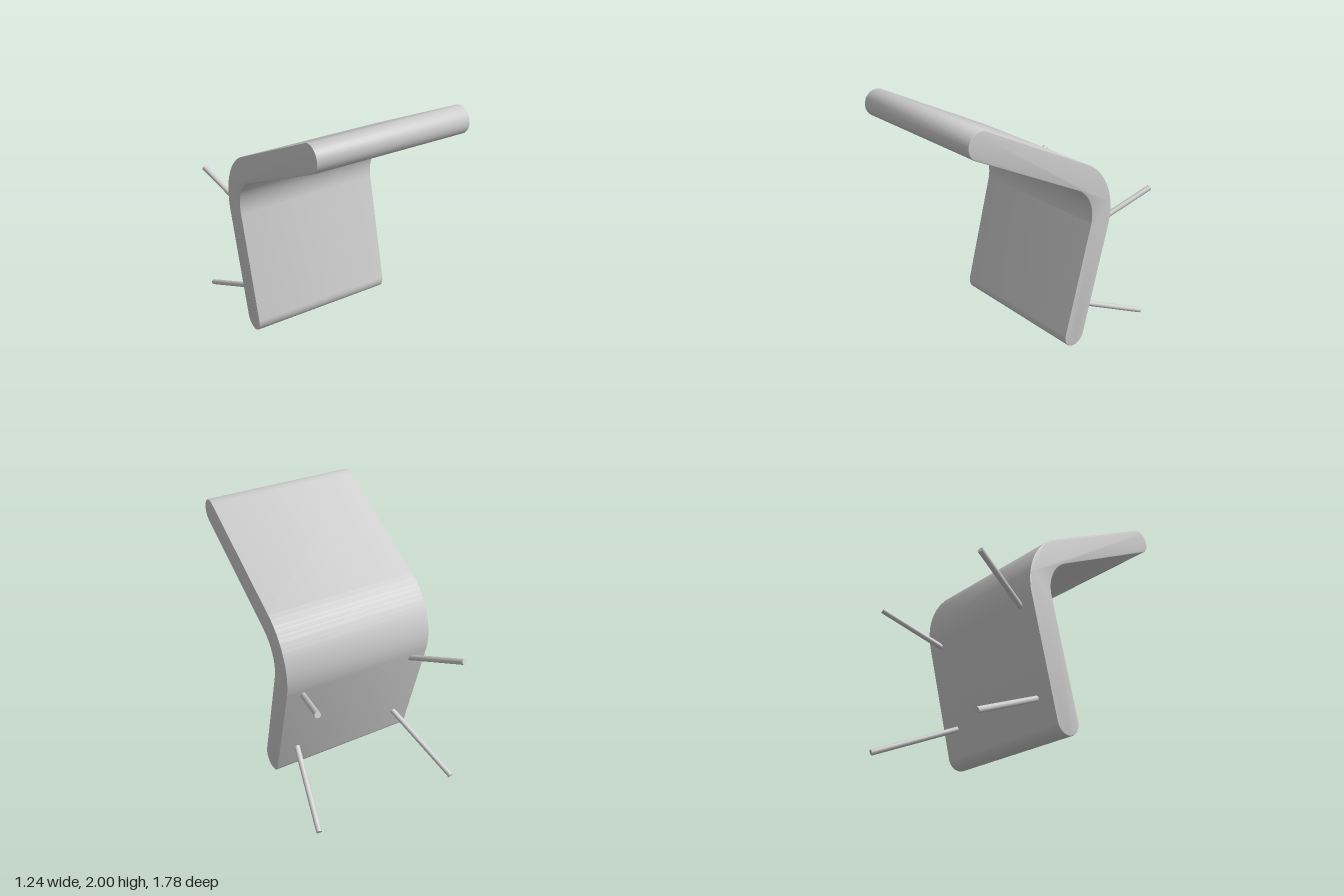
import * as THREE from 'three';
import { toCreasedNormals } from 'three/addons/utils/BufferGeometryUtils.js';

const material = new THREE.MeshStandardMaterial({ color: 0xcccccc });

// Bent slab: side outline drawn in the (z, y) plane, extruded along x
function makeShell() {
  const half = 0.1, bend = 0.385, width = 1.2, bevel = 0.006;
  const low = new THREE.Vector2(-0.1, 0.125);
  const high = new THREE.Vector2(0.79, 1.9);
  const a1 = THREE.MathUtils.degToRad(14.5);   // normal of the lower panel
  const a2 = THREE.MathUtils.degToRad(116.8);  // normal of the upper panel

  // Centre of the bend: at distance `bend` from both panel centrelines
  const n1 = new THREE.Vector2(Math.cos(a1), Math.sin(a1));
  const n2 = new THREE.Vector2(-Math.cos(a2), -Math.sin(a2));
  const d1 = n1.dot(low) + bend, d2 = n2.dot(high) + bend;
  const det = n1.x * n2.y - n1.y * n2.x;
  const cz = (d1 * n2.y - d2 * n1.y) / det;
  const cy = (n1.x * d2 - n2.x * d1) / det;

  const outline = new THREE.Shape();
  outline.absarc(low.x, low.y, half, a1 + Math.PI, a1 + 2 * Math.PI, false);
  outline.absarc(cz, cy, bend - half, a1 + Math.PI, a2, true);
  outline.absarc(high.x, high.y, half, a2 - Math.PI, a2, false);
  outline.absarc(cz, cy, bend + half, a2, a1 + Math.PI, false);
  outline.closePath();

  const depth = width - 2 * bevel;
  const geometry = new THREE.ExtrudeGeometry(outline, {
    depth, curveSegments: 32, bevelEnabled: true, bevelSegments: 2,
    bevelSize: bevel, bevelThickness: bevel, bevelOffset: -bevel,
  });
  geometry.translate(0, 0, -depth / 2).rotateY(-Math.PI / 2);
  const shell = new THREE.Mesh(toCreasedNormals(geometry, 0.5), material);
  shell.name = 'bentShell';
  return shell;
}

// Thin round rod between two points
function makeRod(name, from, to) {
  const direction = to.clone().sub(from);
  const rod = new THREE.Mesh(new THREE.CylinderGeometry(0.022, 0.022, direction.length(), 24), material);
  rod.name = name;
  rod.position.copy(from).add(to).multiplyScalar(0.5);
  rod.quaternion.setFromUnitVectors(new THREE.Vector3(0, 1, 0), direction.normalize());
  return rod;
}

export function createModel() {
  const model = new THREE.Group();
  model.name = 'bentChair';
  model.add(makeShell());

  // Four legs splaying out from the back of the lower panel
  for (const [side, s] of [['left', 1], ['right', -1]]) {
    model.add(makeRod(side + 'UpperLeg',
      new THREE.Vector3(s * 0.45, 0.908, -0.35), new THREE.Vector3(s * 0.597, 1.147, -0.88)));
    model.add(makeRod(side + 'LowerLeg',
      new THREE.Vector3(s * 0.435, 0.312, -0.2), new THREE.Vector3(s * 0.597, 0.022, -0.88)));
  }
  return model;
}
